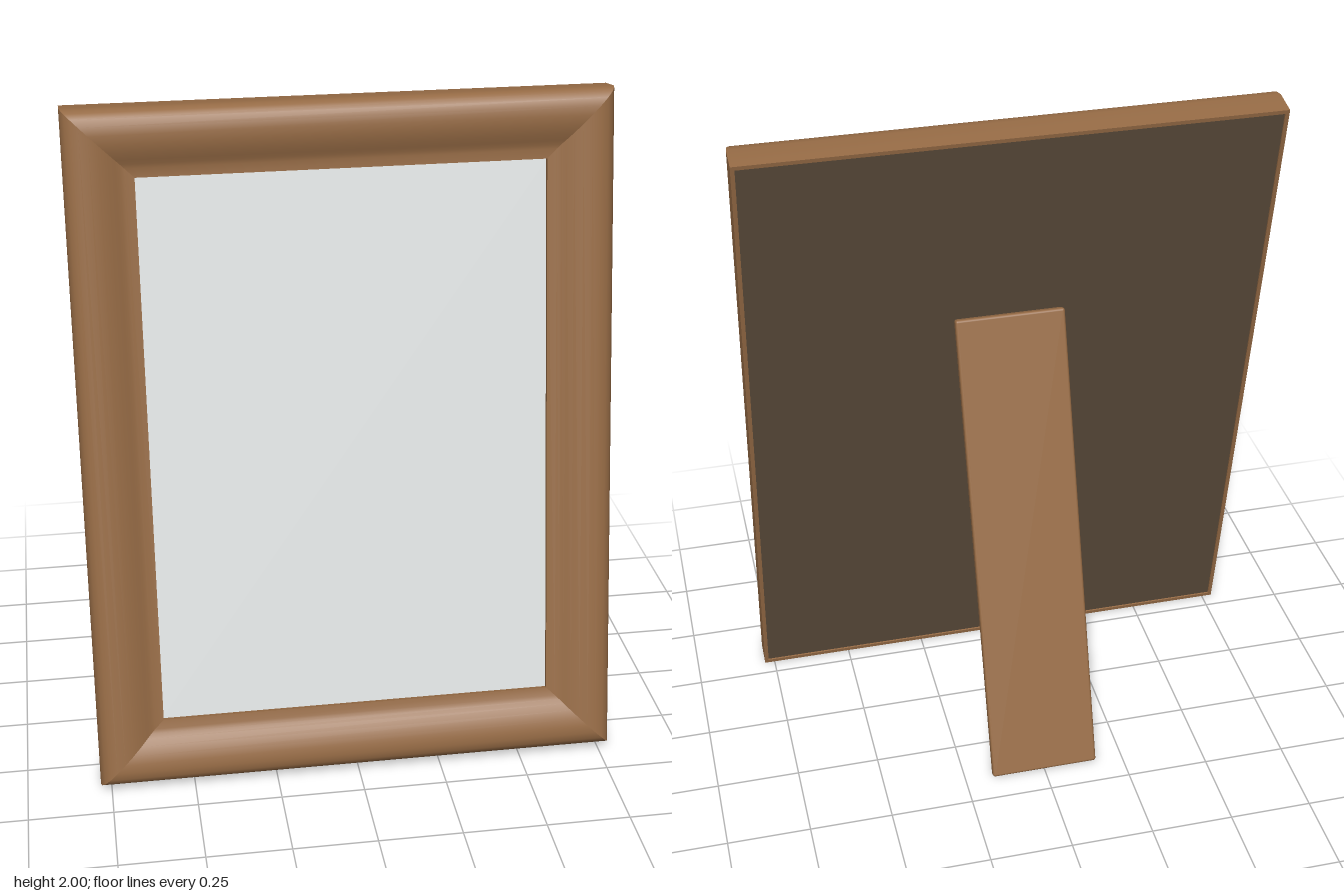
import * as THREE from 'three';
import { toCreasedNormals } from 'three/addons/utils/BufferGeometryUtils.js';
import { RoundedBoxGeometry } from 'three/addons/geometries/RoundedBoxGeometry.js';

const W = 0.782, H = 1.0075; // half width and half height of the frame
const TILT = THREE.MathUtils.degToRad(10);

// Moulding section: [distance in from the outer edge, depth above the back]
const OUTLINE = [
  [0.197, 0.07], [0.012, 0.07], [0.012, 0], [0, 0], [0, 0.08], [0.004, 0.1], [0.013, 0.115],
  [0.028, 0.126], [0.05, 0.132], [0.075, 0.132], [0.1, 0.128], [0.125, 0.119],
  [0.145, 0.109], [0.158, 0.102], [0.17, 0.098], [0.197, 0.096], [0.197, 0.07],
];

// One mitred bar of the given half length, its outer edge at y = offset
function barGeometry(halfLength, offset) {
  const positions = [], index = [];
  OUTLINE.forEach(([inset, depth], i) => {
    for (const s of [-1, 1]) positions.push(s * (halfLength - inset), offset - inset, depth);
    if (i === 0) return;
    const a = 2 * (i - 1);
    index.push(a, a + 2, a + 1, a + 1, a + 2, a + 3);
  });
  const g = new THREE.BufferGeometry();
  g.setAttribute('position', new THREE.Float32BufferAttribute(positions, 3));
  g.setIndex(index);
  return toCreasedNormals(g, 0.6);
}

export function createModel() {
  const model = new THREE.Group();
  model.name = 'pictureFrame';
  const wood = new THREE.MeshStandardMaterial({ name: 'wood', color: 0x966b45 });
  const pane = new THREE.MeshStandardMaterial({ name: 'paleGlass', color: 0xe2e5e5 });
  const dark = new THREE.MeshStandardMaterial({ name: 'darkBacking', color: 0x5b4b3b });

  const add = (parent, name, geometry, material) => {
    const mesh = new THREE.Mesh(geometry, material);
    mesh.name = name;
    parent.add(mesh);
    return mesh;
  };

  // Leaning frame, hinged on its lower back edge
  const lean = new THREE.Group();
  lean.name = 'leaningFrame';
  lean.rotation.x = -TILT;
  lean.position.set(0, 0.005, 0.297);
  model.add(lean);
  const frame = new THREE.Group();
  frame.name = 'frame';
  frame.position.y = H;
  lean.add(frame);

  // Four mitred bars
  ['topBar', 'leftBar', 'bottomBar', 'rightBar'].forEach((name, i) => {
    const upright = i % 2 === 1;
    const bar = add(frame, name, barGeometry(upright ? H : W, upright ? W : H), wood);
    bar.rotation.z = -i * Math.PI / 2;
  });

  // Glass pane behind the inner lip
  add(frame, 'pane', new THREE.BoxGeometry(2 * W - 0.37, 2 * H - 0.37, 0.01), pane).position.z = 0.079;

  // Backing board, slightly recessed in the rear rim
  add(frame, 'backingBoard', new THREE.BoxGeometry(2 * W - 0.024, 2 * H - 0.024, 0.064), dark).position.z = 0.037;

  // Easel leg from the middle of the back down to the ground
  const top = new THREE.Vector2(0.047, 1.375), foot = new THREE.Vector2(-0.405, 0.007);
  const leg = add(model, 'easelLeg',
    new RoundedBoxGeometry(0.33, top.distanceTo(foot) + 0.012, 0.029, 3, 0.008), wood);
  leg.position.set(0, (top.y + foot.y) / 2 + 0.003, (top.x + foot.x) / 2);
  leg.rotation.x = Math.atan2(top.x - foot.x, top.y - foot.y);
  return model;
}
